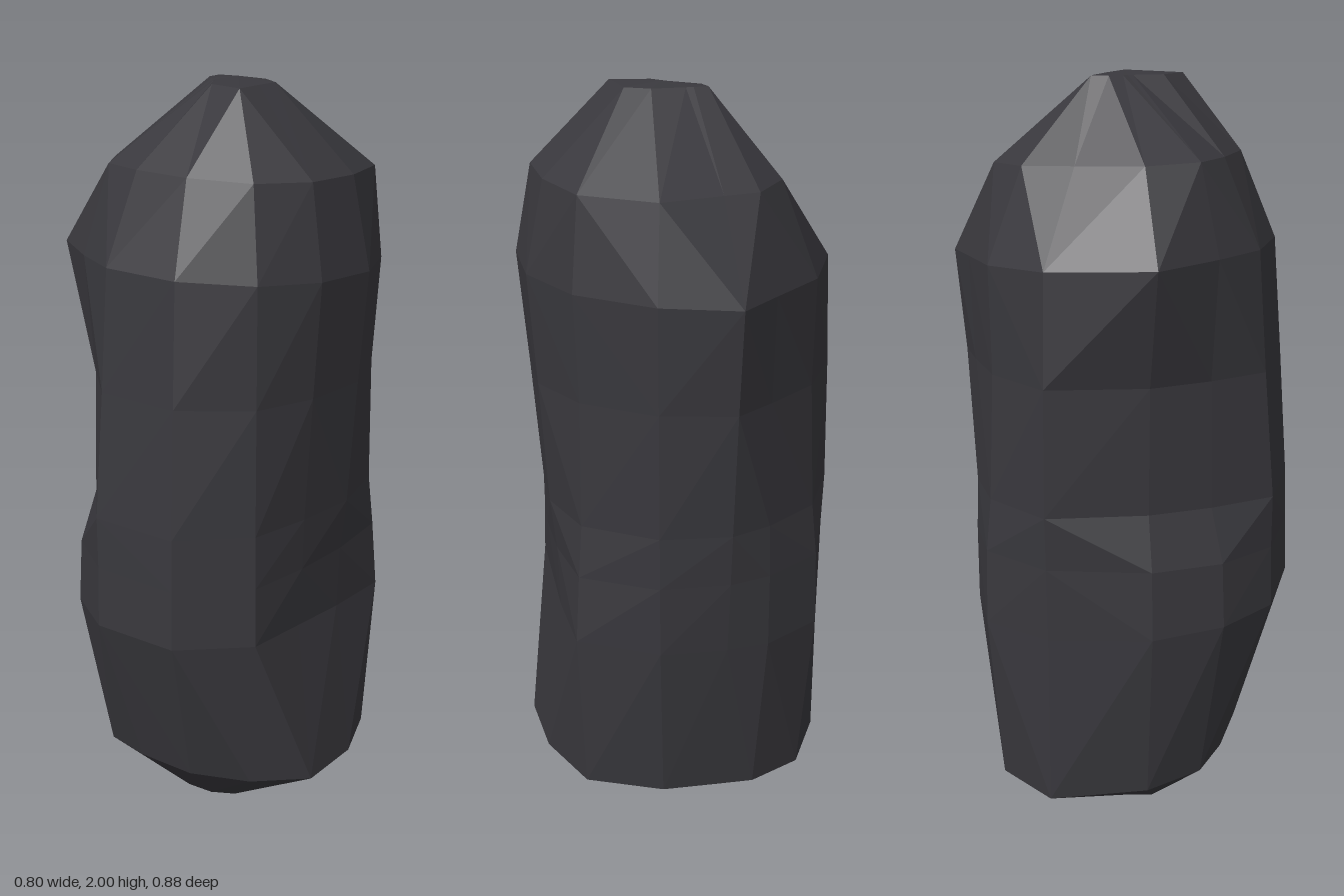
import * as THREE from 'three';

// Facet columns: angle in degrees from +x towards +z
const ANGLES = [17, 40, 67, 98, 122, 150, 190, 220, 246, 263, 290, 322, 350];

// Cross-sections from bottom to top: height, tilt along x and z, radius per column
const RINGS = [
  { y: 0.02, tx: 0, tz: -0.1, r: [0.13, 0.15, 0.14, 0.14, 0.14, 0.12, 0.09, 0.1, 0.11, 0.12, 0.11, 0.12, 0.13] },
  { y: 0.17, tx: 0.06, tz: 0.05, r: [0.42, 0.37, 0.33, 0.31, 0.335, 0.345, 0.395, 0.375, 0.34, 0.315, 0.335, 0.395, 0.395] },
  { y: 0.62, tx: 0.03, tz: 0.04, r: [0.35, 0.43, 0.465, 0.445, 0.415, 0.39, 0.395, 0.415, 0.39, 0.37, 0.385, 0.42, 0.345] },
  // Hollow chipped out of the front corner on the -x side
  { y: 0.8, tx: 0, tz: 0, r: [0.36, 0.425, 0.46, 0.44, 0.405, 0.38, 0.4, 0.41, 0.39, 0.385, 0.39, 0.405, 0.35] },
  { y: 0.94, tx: 0, tz: 0, r: [0.365, 0.42, 0.455, 0.44, 0.36, 0.34, 0.405, 0.395, 0.385, 0.395, 0.39, 0.39, 0.365] },
  { y: 1.27, tx: 0, tz: 0, r: [0.39, 0.42, 0.43, 0.41, 0.35, 0.345, 0.4, 0.38, 0.38, 0.42, 0.395, 0.385, 0.385] },
  { y: 1.56, tx: 0, tz: 0.05, r: [0.415, 0.42, 0.405, 0.385, 0.37, 0.42, 0.39, 0.385, 0.39, 0.445, 0.405, 0.4, 0.405] },
  // Shoulder and crown
  { y: 1.79, tx: 0, tz: 0.04, r: [0.37, 0.365, 0.31, 0.285, 0.3, 0.28, 0.235, 0.285, 0.32, 0.31, 0.36, 0.375, 0.355] },
  { y: 1.99, tx: 0, tz: 0, r: [0.146, 0.19, 0.11, 0.035, 0.03, 0.035, 0.06, 0.085, 0.066, 0.06, 0.064, 0.1, 0.14] },
];

function ringPoints({ y, tx, tz, r }) {
  return ANGLES.map((deg, i) => {
    const a = THREE.MathUtils.degToRad(deg);
    const x = r[i] * Math.cos(a), z = r[i] * Math.sin(a);
    return new THREE.Vector3(x, y + tx * x + tz * z, z);
  });
}

// Skin between neighbouring rings, closed by a fan at each end
function stoneGeometry() {
  const rings = RINGS.map(ringPoints);
  const n = ANGLES.length;
  const points = [];
  const plane = new THREE.Plane();

  // Split each quad along the diagonal that bulges outwards
  const quad = (a, b, c, d) => {
    plane.setFromCoplanarPoints(a, b, d);
    if (plane.distanceToPoint(c) < 0) points.push(a, b, d, b, c, d);
    else points.push(a, b, c, a, c, d);
  };

  const bottom = new THREE.Vector3(0.03, 0, 0.02);
  const top = new THREE.Vector3(0.04, 2, 0);
  const first = rings[0], last = rings[rings.length - 1];
  for (let i = 0; i < n; i++) {
    const j = (i + 1) % n;
    for (let k = 0; k < rings.length - 1; k++) {
      const lo = rings[k], hi = rings[k + 1];
      quad(lo[i], hi[i], hi[j], lo[j]);
    }
    points.push(bottom, first[i], first[j]);
    points.push(top, last[j], last[i]);
  }
  const geometry = new THREE.BufferGeometry().setFromPoints(points);
  geometry.computeVertexNormals();
  return geometry;
}

export function createModel() {
  const group = new THREE.Group();
  group.name = 'standingStone';
  const darkStone = new THREE.MeshStandardMaterial({ color: 0x39383d });
  darkStone.name = 'darkStone';
  darkStone.flatShading = true;
  const stone = new THREE.Mesh(stoneGeometry(), darkStone);
  stone.name = 'stone';
  group.add(stone);
  return group;
}
